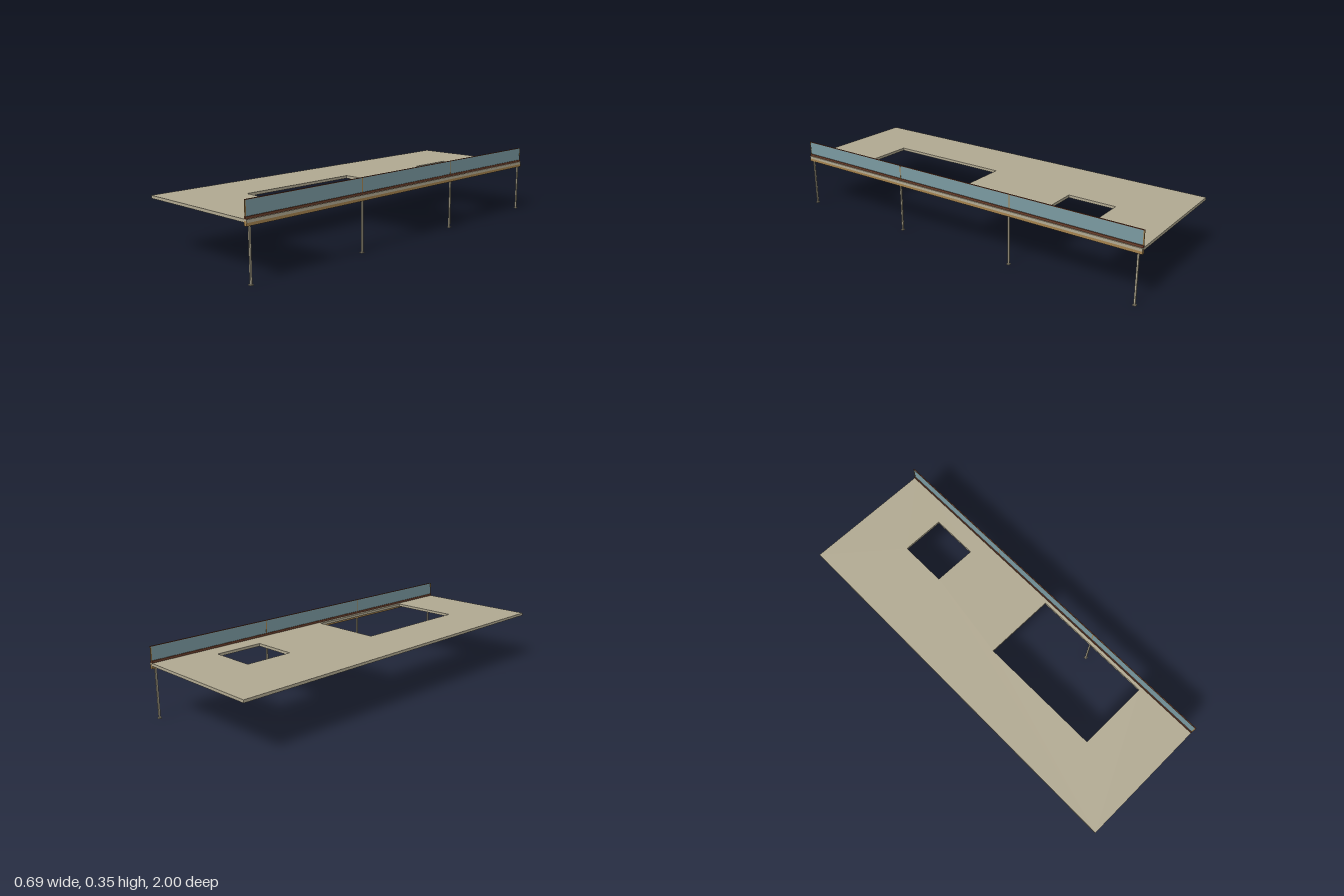
import * as THREE from 'three';

const mat = (name, color) => {
  const m = new THREE.MeshStandardMaterial({ color });
  m.name = name;
  return m;
};

export function createModel() {
  const concrete = mat('concrete', 0xb2aa92);
  const timber = mat('timber', 0xa5834f);
  const darkWood = mat('dark wood', 0x6a3f2b);
  const glass = mat('glass', 0x7b9ba2);

  const model = new THREE.Group();
  model.name = 'balconyDeck';

  // Box given by its minimum and maximum corners
  const box = (name, material, x0, x1, y0, y1, z0, z1) => {
    const mesh = new THREE.Mesh(new THREE.BoxGeometry(x1 - x0, y1 - y0, z1 - z0), material);
    mesh.position.set((x0 + x1) / 2, (y0 + y1) / 2, (z0 + z1) / 2);
    mesh.name = name;
    model.add(mesh);
  };

  // Floor slab with two rectangular openings (shape y becomes -z)
  const rect = (path, x0, x1, z0, z1) => {
    path.moveTo(x0, -z1);
    path.lineTo(x1, -z1);
    path.lineTo(x1, -z0);
    path.lineTo(x0, -z0);
    path.closePath();
    return path;
  };
  const slab = rect(new THREE.Shape(), -0.346, 0.346, -0.9995, 0.9995);
  slab.holes.push(rect(new THREE.Path(), 0.01, 0.238, -0.705, -0.456));
  slab.holes.push(rect(new THREE.Path(), -0.063, 0.312, 0.027, 0.677));
  const slabGeo = new THREE.ExtrudeGeometry(slab, { depth: 0.014, bevelEnabled: false });
  slabGeo.rotateX(-Math.PI / 2);
  const deck = new THREE.Mesh(slabGeo, concrete);
  deck.position.y = 0.26;
  deck.name = 'deckSlab';
  model.add(deck);

  // Edge beam under the open side, and the kerb above it
  box('edgeBeam', timber, 0.33, 0.345, 0.246, 0.267, -1, 1);
  box('kerb', darkWood, 0.329, 0.341, 0.274, 0.285, -1, 1);

  // Glass balustrade with a thin top rail
  box('glassPanel', glass, 0.3335, 0.3365, 0.285, 0.351, -0.998, 0.998);
  box('topRail', darkWood, 0.3325, 0.3375, 0.351, 0.354, -1, 1);
  for (const z of [-0.9975, -0.333, 0.333, 0.9975]) {
    box('railPost', timber, 0.3328, 0.3372, 0.285, 0.351, z - 0.0025, z + 0.0025);
  }

  // Slim columns on square base plates
  for (const z of [-0.98, -0.333, 0.333, 0.98]) {
    box('column', concrete, 0.332, 0.34, 0.003, 0.246, z - 0.004, z + 0.004);
    box('basePlate', concrete, 0.328, 0.344, 0, 0.004, z - 0.008, z + 0.008);
  }

  return model;
}
